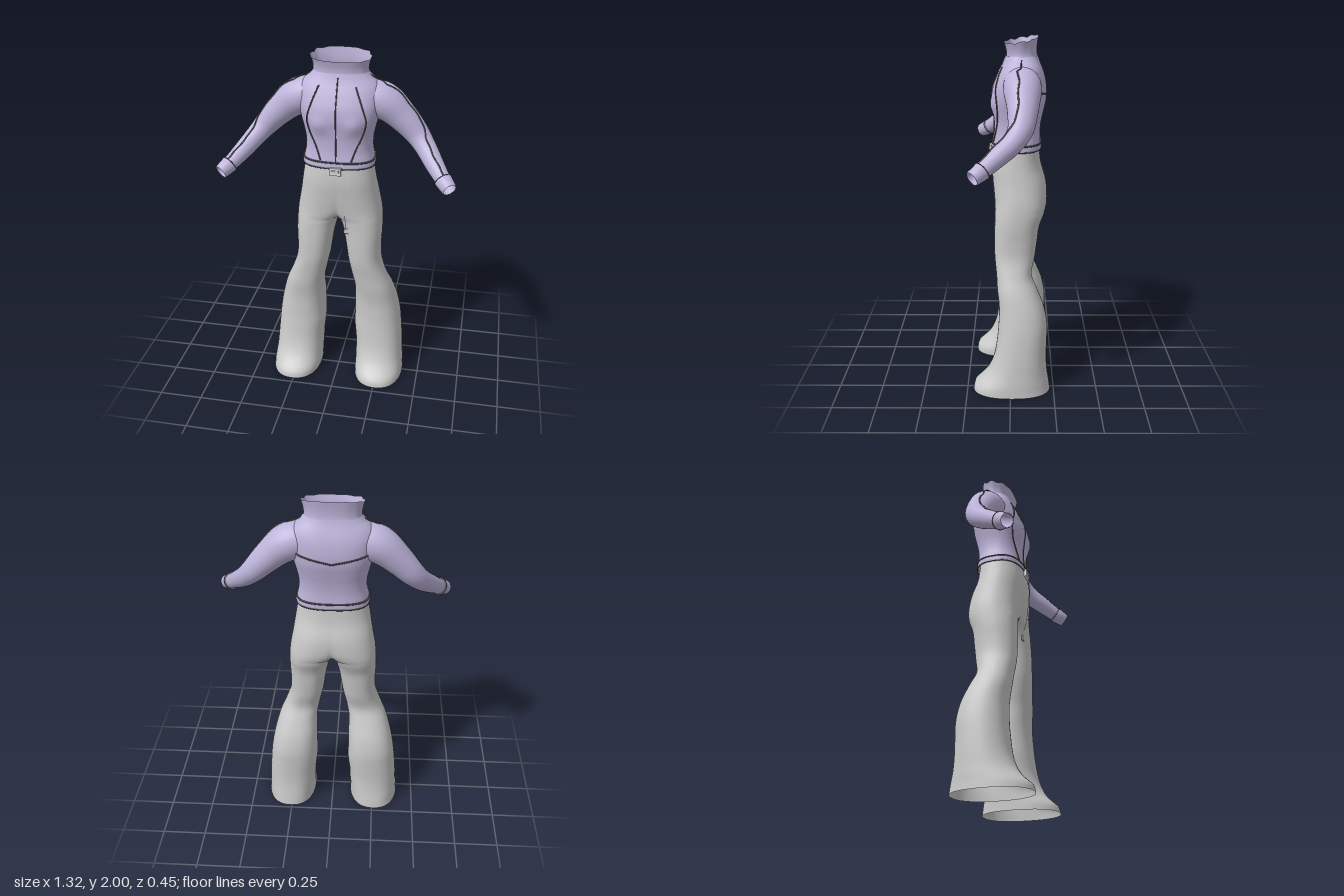
import * as THREE from 'three';
import { mergeGeometries, mergeVertices } from 'three/addons/utils/BufferGeometryUtils.js';

const mat = (name, color) => {
  const m = new THREE.MeshStandardMaterial({ color, side: THREE.DoubleSide });
  m.name = name;
  return m;
};
const V = (x, y, z) => new THREE.Vector3(x, y, z);

// Smooth interpolation of rows [y, a, b, ...] at height y
function sample(keys, y) {
  let i = 0;
  while (i < keys.length - 2 && y > keys[i + 1][0]) i++;
  const k = (n) => keys[Math.max(0, Math.min(keys.length - 1, n))];
  const p = k(i), q = k(i + 1), h = q[0] - p[0];
  const t = Math.max(0, Math.min(1, (y - p[0]) / h));
  const slope = (n, c) => (k(n + 1)[c] - k(n - 1)[c]) / (k(n + 1)[0] - k(n - 1)[0]);
  return p.slice(1).map((v, c) => {
    const m0 = slope(i, c + 1) * h, m1 = slope(i + 1, c + 1) * h, t2 = t * t, t3 = t2 * t;
    return (2 * t3 - 3 * t2 + 1) * v + (t3 - 2 * t2 + t) * m0 + (3 * t2 - 2 * t3) * q[c + 1] + (t3 - t2) * m1;
  });
}

// Open skin over rings that all have the same number of points
function loft(rings) {
  const n = rings[0].length, index = [];
  for (let i = 0; i < rings.length - 1; i++)
    for (let j = 0; j < n - 1; j++) {
      const a = i * n + j, b = a + n;
      index.push(a, b, b + 1, a, b + 1, a + 1);
    }
  const g = new THREE.BufferGeometry();
  g.setAttribute('position', new THREE.Float32BufferAttribute(rings.flat().flatMap((p) => p.toArray()), 3));
  g.setIndex(index);
  return g;
}
function smooth(g) {
  const m = mergeVertices(g, 1e-5);
  m.computeVertexNormals();
  return m;
}
function mirrored(g) {
  const m = g.clone().scale(-1, 1, 1);
  m.setIndex(Array.from(g.index.array).reverse());
  return m;
}
const pw = (v, p) => Math.sign(v) * Math.abs(v) ** p;
const range = (a, b, n) => Array.from({ length: n + 1 }, (_, i) => a + (b - a) * i / n);

// Trousers: [height, inner x, outer x, front z, back z]; a negative inner x joins the halves
const LEG = [
  [0, .11, .405, .215, -.23], [.04, .11, .402, .205, -.225], [.07, .11, .4, .17, -.22], [.12, .108, .395, .128, -.212],
  [.2, .105, .39, .095, -.207], [.32, .093, .38, .075, -.21], [.4, .095, .37, .068, -.21], [.5, .095, .35, .065, -.19],
  [.6, .095, .32, .075, -.15], [.68, .08, .285, .08, -.12], [.78, .058, .252, .09, -.138], [.88, .043, .247, .092, -.152],
  [.96, .028, .25, .09, -.163], [1.04, 0, .248, .088, -.193], [1.1, -.075, .243, .09, -.205], [1.2, -.14, .225, .1, -.2],
  [1.3, -.18, .208, .108, -.172], [1.41, -.19, .19, .1, -.16]];
const LP = 0.86;
function legRing(y) {
  const [inn, out, f, b] = sample(LEG, y);
  const cx = (inn + out) / 2, rx = (out - inn) / 2, cz = (f + b) / 2, rz = (f - b) / 2;
  const a = inn > -1e-5 ? Math.PI : Math.acos(-(Math.max(0, cx / rx) ** (1 / LP)));
  return range(-a, a, 48).map((t, i) => V(
    (i === 0 || i === 48) && inn < 1e-5 ? 0 : cx + rx * pw(Math.cos(t), LP), y, cz + rz * pw(Math.sin(t), LP)));
}
const trouserFront = (x, y) => {
  const [inn, out, f, b] = sample(LEG, y);
  const c = Math.min(1, Math.abs((x - (inn + out) / 2) / ((out - inn) / 2)));
  return (f + b) / 2 + (f - b) / 2 * Math.sqrt(1 - c ** (2 / LP)) ** LP;
};

// Jacket body: [height, half width, front z, back z]
const TORSO = [
  [1.38, .2, .105, -.17], [1.42, .197, .1, -.168], [1.48, .186, .092, -.166], [1.54, .188, .092, -.172], [1.6, .2, .098, -.185],
  [1.66, .215, .105, -.198], [1.72, .225, .1, -.2], [1.78, .23, .078, -.192], [1.82, .222, .06, -.18], [1.85, .2, .045, -.168],
  [1.875, .17, .035, -.158], [1.9, .15, .027, -.15]];
const TP = 0.76;
const bust = (x, y) => .016 * Math.exp(-(((Math.abs(x) - .1) / .05) ** 2) - ((y - 1.63) / .05) ** 2);
function torsoZ(x, y, side) {
  const [w, f, b] = sample(TORSO, y);
  const c = Math.min(1, Math.abs(x) / w) ** (2 / TP);
  return (f + b) / 2 + side * (f - b) / 2 * Math.sqrt(1 - c) ** TP + (side > 0 ? bust(x, y) : 0);
}
function torsoRing(y, grow = 0) {
  const [w, f, b] = sample(TORSO, y);
  return range(0, 2 * Math.PI, 72).map((t) => {
    const x = (w + grow) * pw(Math.cos(t), TP), s = Math.sin(t);
    return V(x, y, (f + b) / 2 + ((f - b) / 2 + grow) * pw(s, TP) + Math.max(0, s) * bust(x, y));
  });
}

// Sleeve centre line and radii
const ARM = new THREE.CatmullRomCurve3([V(.13, 1.765, -.06), V(.24, 1.735, -.065), V(.35, 1.645, -.065), V(.43, 1.56, -.052),
  V(.48, 1.503, -.012), V(.54, 1.437, .07), V(.6, 1.378, .15), V(.63, 1.355, .188)]);
const RADII = [[0, .095], [.14, .103], [.3, .086], [.46, .071], [.58, .06], [.75, .052], [.9, .043], [1, .039]];
function armPoint(u, t, grow = 0) {
  const T = ARM.getTangentAt(u), N = V(0, 1, 0).addScaledVector(T, -T.y).normalize(), B = N.clone().cross(T);
  const r = sample(RADII, u)[0] + grow;
  return ARM.getPointAt(u).addScaledVector(N, r * Math.cos(t)).addScaledVector(B, r * Math.sin(t));
}
const armRing = (u, grow) => range(0, 2 * Math.PI, 32).map((t) => armPoint(u, t, grow));

export function createModel() {
  const root = new THREE.Group();
  root.name = 'outfit';
  const lilac = mat('lilac cloth', 0xbdb4da), grey = mat('grey cloth', 0xc9c9c9);
  const dark = mat('dark seam', 0x5e5a58), metal = mat('pale buckle', 0xdedede);
  const add = (name, g, m) => {
    const mesh = new THREE.Mesh(g, m);
    mesh.name = name;
    root.add(mesh);
    return mesh;
  };
  const seam = (name, pts, r = .004, closed = false) =>
    add(name, new THREE.TubeGeometry(new THREE.CatmullRomCurve3(pts, closed), pts.length * 4, r, 5, closed), dark);

  // Flared trousers, both halves joined down the middle
  const half = loft([...range(0, 1.04, 52), ...range(1.06, 1.41, 18)].map(legRing));
  add('trousers', smooth(mergeGeometries([half, mirrored(half)])), grey);

  // Jacket body and waistband
  add('jacketBody', smooth(loft(range(1.41, 1.9, 40).map((y) => torsoRing(y)))), lilac);
  add('jacketWaistband', smooth(loft([torsoRing(1.385, .001), torsoRing(1.4, .006), torsoRing(1.425, .003)])), lilac);
  seam('waistSeamUpper', torsoRing(1.422, .004).slice(0, -1), .005, true);
  seam('waistSeamLower', torsoRing(1.388, .002).slice(0, -1), .0035, true);

  // Standing collar, higher at the back, with a slightly uneven rim
  const collar = [[0, .168, .032, -.158], [.25, .152, .024, -.147], [.6, .153, .026, -.146], [1, .165, .036, -.152]];
  const collarRing = (v) => {
    const [w, f, b] = sample(collar, v);
    return range(0, 2 * Math.PI, 72).map((t) => {
      const s = pw(Math.sin(t), .85), pleat = 1 + .025 * v * Math.cos(10 * t);
      const top = 1.983 - .017 * s - .005 * v * (1 - Math.cos(10 * t)) * Math.cos(t) ** 2;
      return V(w * pw(Math.cos(t), .8) * pleat, 1.87 + (top - 1.87) * v, (f + b) / 2 + (f - b) / 2 * s);
    });
  };
  add('collar', smooth(loft(range(0, 1, 10).map(collarRing))), lilac);

  // Front closing and back yoke seams
  seam('frontSeam', range(1.42, 1.88, 14).map((y) => V(0, y, torsoZ(0, y, 1) + .001)), .0035);
  seam('yokeSeam', range(-.2, .2, 18).map((x) => {
    const y = 1.675 + Math.abs(x) * .2;
    return V(x, y, torsoZ(x, y, -1) - .001);
  }), .0045);

  for (const s of [1, -1]) {
    const side = s > 0 ? 'left' : 'right', flip = (p) => V(p.x * s, p.y, p.z);
    const put = (name, g) => add(side + name, smooth(s > 0 ? g : mirrored(g)), lilac);
    // Sleeve with a turned cuff
    put('Sleeve', loft(range(0, 1, 40).map((u) => armRing(u, 0))));
    put('Cuff', loft([armRing(.9, 0), armRing(.905, .006), armRing(.95, .004), armRing(.995, .002), armRing(1, -.002)]));
    seam(side + 'CuffSeam', armRing(.905, .006).slice(0, -1).map(flip), .0025, true);
    seam(side + 'SleeveSeam', range(.12, .9, 24).map((u) => flip(armPoint(u, -.25 + .1 * Math.sin(u * 40) * .4, .001))), .0045);
    seam(side + 'ShoulderSeam', [V(.155, 1.885, -.06), V(.19, 1.866, -.058), V(.23, 1.852, -.056), flip(armPoint(.12, -.25, .001)).setX(armPoint(.12, -.25, .001).x)].map(flip), .004);
    // Curved panel seam over the chest
    const panel = [[1.43, .085], [1.5, .11], [1.58, .145], [1.66, .162], [1.74, .14], [1.84, .1]];
    seam(side + 'PanelSeam', range(1.43, 1.84, 16).map((y) => {
      const x = sample(panel, y)[0];
      return V(x * s, y, torsoZ(x, y, 1) + .001);
    }), .0042);
  }

  // Belt buckle
  const buckle = add('buckle', new THREE.BoxGeometry(.066, .044, .014), metal);
  buckle.position.set(0, 1.375, .113);
  const bar = add('buckleBar', new THREE.BoxGeometry(.044, .014, .006), grey);
  bar.position.set(0, 1.378, .121);

  // Hanging strap, its cord and end tag
  const strip = (x0, x1, y0, y1) => smooth(loft(range(y0, y1, 12).map((y) =>
    [x1, x0].map((x) => V(x, y, trouserFront(x, y) + .006)))));
  add('strap', strip(.045, .084, 1.11, 1.37), grey);
  add('strapCord', strip(.05, .054, 1, 1.12), grey);
  const tag = add('strapTag', new THREE.BoxGeometry(.03, .03, .009), grey);
  tag.position.set(.057, .99, trouserFront(.057, .99) + .006);

  return root;
}
